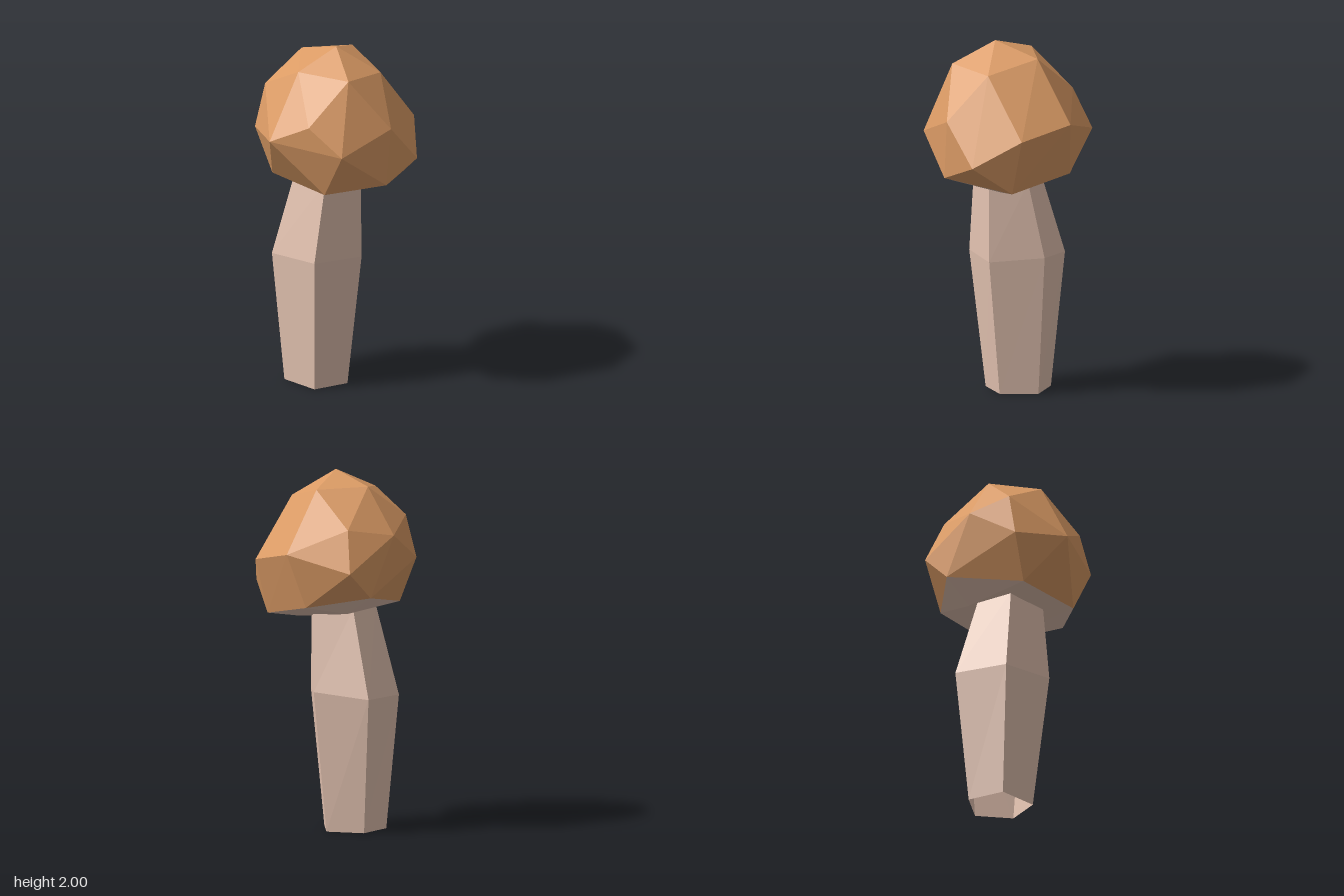
import * as THREE from 'three';
import { ConvexGeometry } from 'three/addons/geometries/ConvexGeometry.js';

const material = (name, color, side = THREE.FrontSide) => {
  const m = new THREE.MeshStandardMaterial({ color, side, flatShading: true });
  m.name = name;
  return m;
};

// Faceted cap: corners above the rim
const CROWN = [
  [-0.015, 2, 0.078], [0.185, 1.92, -0.095], [-0.095, 1.93, -0.17],
  [-0.255, 1.89, 0.075], [-0.07, 1.875, 0.313], [0.195, 1.85, 0.205],
  [-0.463, 1.53, 0.12], [0.462, 1.52, 0.11], [-0.31, 1.635, 0.29],
  [-0.183, 1.48, 0.439], [0.137, 1.595, 0.428], [0.342, 1.365, 0.357],
  [0.105, 1.72, -0.337], [-0.175, 1.675, -0.34], [-0.325, 1.76, -0.175],
  [-0.39, 1.516, -0.175], [0.14, 1.49, -0.44], [0.415, 1.585, -0.2],
];

// Rim corners, then the two lowest points of the underside
const UNDERSIDE = [
  [0.106, 1.27, 0.43], [0.377, 1.21, 0.133], [0.315, 1.285, -0.235],
  [-0.01, 1.34, -0.39], [-0.33, 1.26, -0.085], [-0.217, 1.23, 0.305],
  [0.18, 1.18, 0.13], [0.05, 1.23, -0.21],
];

// Five-sided stem: rings from the open foot up to inside the cap
const STEM_RINGS = [
  [[-0.155, 0, 0.08], [0.055, 0, 0.08], [0.135, 0, -0.12], [-0.03, 0, -0.26], [-0.217, 0, -0.15]],
  [[-0.2, 0.775, 0.16], [0.1, 0.765, 0.16], [0.215, 0.79, -0.125], [-0.02, 0.76, -0.34], [-0.285, 0.75, -0.17]],
  [[-0.13, 1.24, 0.16], [0.095, 1.23, 0.16], [0.18, 1.22, -0.04], [0, 1.25, -0.18], [-0.185, 1.25, -0.08]],
];

function geometryFrom(corners) {
  const geometry = new THREE.BufferGeometry();
  geometry.setAttribute('position', new THREE.Float32BufferAttribute(corners.flat(), 3));
  geometry.computeVertexNormals();
  return geometry;
}

// Side walls between successive rings, open at both ends
function loft(rings) {
  const n = rings[0].length, corners = [];
  for (let r = 0; r < rings.length - 1; r++) {
    for (let i = 0; i < n; i++) {
      const j = (i + 1) % n, low = rings[r], high = rings[r + 1];
      corners.push(low[i], low[j], high[j], low[i], high[j], high[i]);
    }
  }
  return geometryFrom(corners);
}

export function createModel() {
  const model = new THREE.Group();
  model.name = 'mushroom';
  const add = (name, geometry, mat) => {
    const mesh = new THREE.Mesh(geometry, mat);
    mesh.name = name;
    model.add(mesh);
  };

  // Split the cap hull: faces touching only underside corners become the gills
  const points = [...CROWN, ...UNDERSIDE].map(p => new THREE.Vector3(...p));
  const under = points.slice(CROWN.length);
  const position = new ConvexGeometry(points).getAttribute('position');
  const capFaces = [], gillFaces = [];
  for (let i = 0; i < position.count; i += 3) {
    const face = [0, 1, 2].map(k => new THREE.Vector3().fromBufferAttribute(position, i + k));
    const isGill = face.every(v => under.some(u => u.distanceTo(v) < 1e-4));
    (isGill ? gillFaces : capFaces).push(...face.map(v => v.toArray()));
  }

  const pale = material('pale beige', 0xe5c4b2, THREE.DoubleSide);
  add('cap', geometryFrom(capFaces), material('cap orange brown', 0xdb9b65));
  add('gills', geometryFrom(gillFaces), pale);
  add('stem', loft(STEM_RINGS), pale);
  return model;
}
